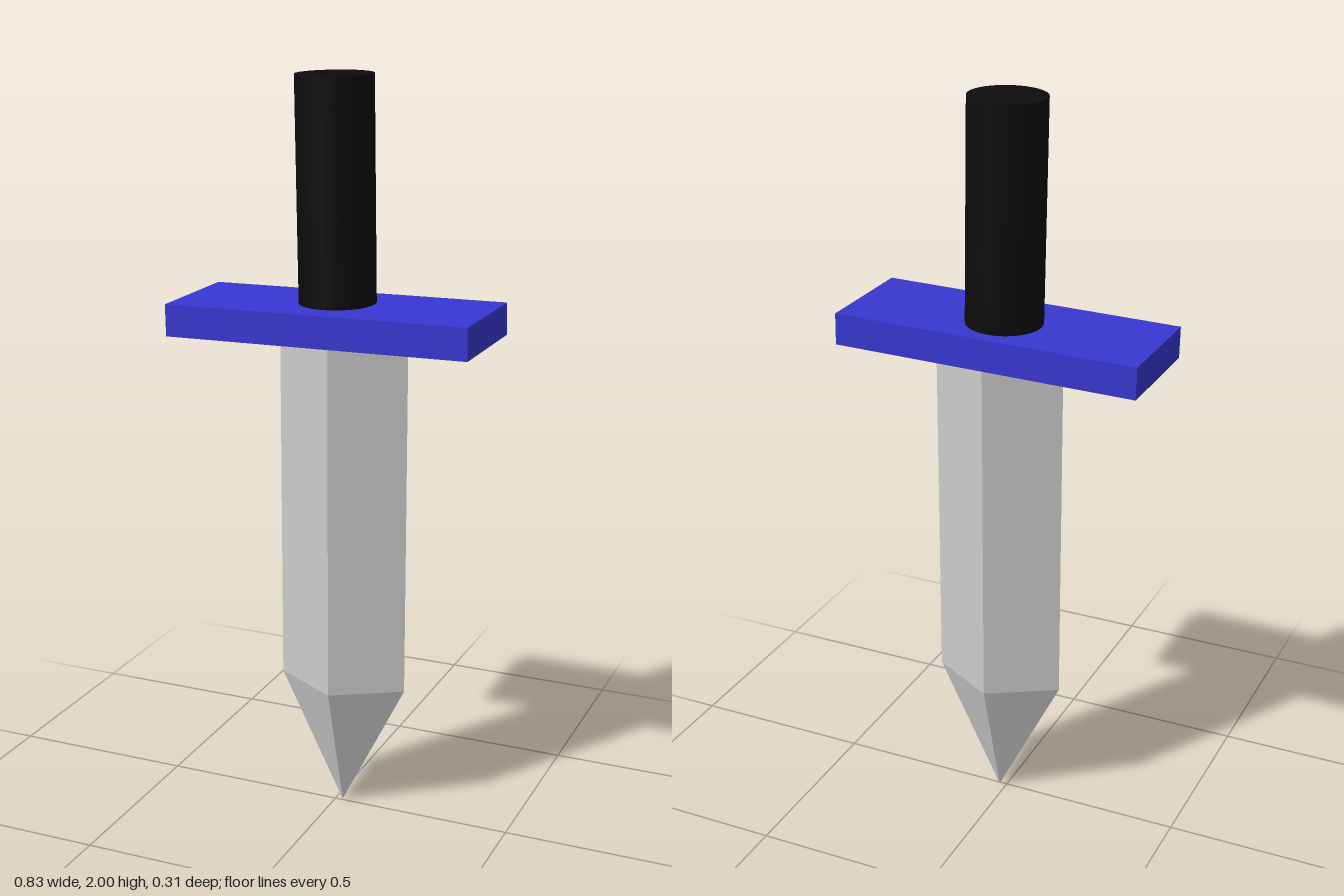
import * as THREE from 'three';

export function createModel() {
  const group = new THREE.Group();

  const add = (name, geometry, color, x, y, z, tilt = 0, flat = true) => {
    const material = new THREE.MeshStandardMaterial({ color, flatShading: flat });
    const mesh = new THREE.Mesh(geometry, material);
    mesh.name = name;
    mesh.position.set(x, y, z);
    mesh.rotation.z = tilt;
    group.add(mesh);
    return mesh;
  };

  // Blade: four-sided diamond section, tapering to a point at the bottom
  const profile = [[0, 0], [1, 0.36], [1, 1.36], [0, 1.36]].map(([r, y]) => new THREE.Vector2(r, y));
  const blade = new THREE.LatheGeometry(profile, 4);
  blade.scale(0.18, 1, 0.104);
  add('blade', blade, 0xcccccc, 0.02, 0, -0.005);

  // Guard and grip lean by about one degree
  const tilt = 0.016;
  add('guard', new THREE.BoxGeometry(0.827, 0.085, 0.31), 0x3838d2, 0, 1.375, 0, tilt);
  add('grip', new THREE.CylinderGeometry(0.101, 0.101, 0.61, 32), 0x0c0c0c, -0.005, 1.694, -0.016, tilt, false);

  return group;
}
